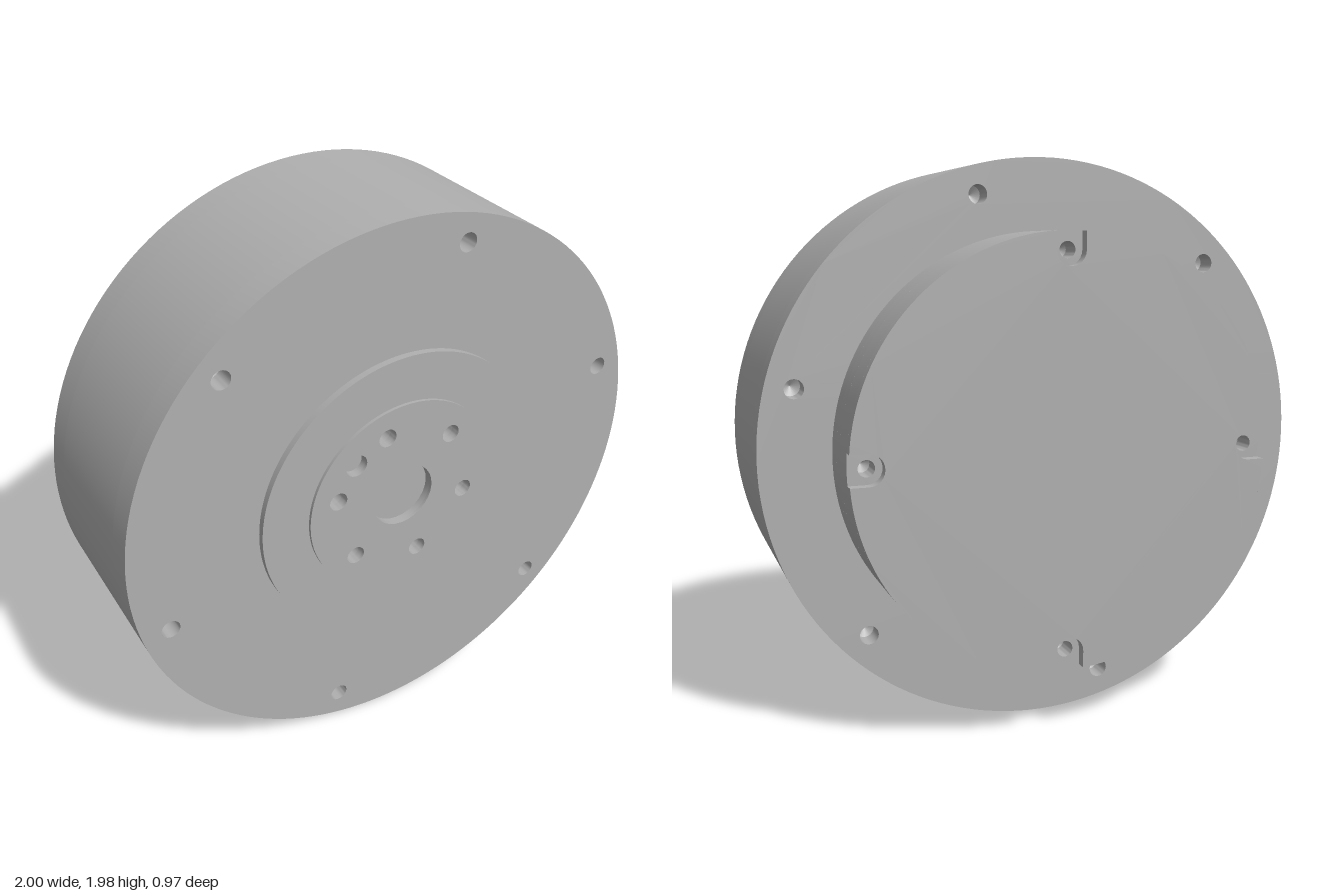
import * as THREE from 'three';
import { toCreasedNormals } from 'three/addons/utils/BufferGeometryUtils.js';

const RAD = Math.PI / 180;
const polar = (r, deg) => new THREE.Vector2(r * Math.cos(deg * RAD), r * Math.sin(deg * RAD));

// Points along an arc, in either direction
function arc(r, from, to) {
  const n = Math.max(2, Math.ceil(Math.abs(to - from) / 2.5));
  return Array.from({ length: n + 1 }, (_, i) => polar(r, from + ((to - from) * i) / n));
}

// Disc outline, optionally with one recess in the rim
function disc(r, recess) {
  if (!recess) return arc(r, 0, 360).slice(0, -1);
  const { from, to, depth } = recess;
  return [...arc(r, to, from + 360), ...arc(r - depth, from, to)];
}

// Disc outline with four U-shaped notches cut in from the rim
function notchedDisc(r, centre, w) {
  const half = Math.asin(w / r) / RAD;
  const pts = [];
  for (let a = 0; a < 360; a += 90) {
    pts.push(polar(r, a - half));
    for (let t = -90; t >= -270; t -= 15) {
      const p = polar(w, t);
      p.x += centre;
      pts.push(p.rotateAround(new THREE.Vector2(), a * RAD));
    }
    pts.push(...arc(r, a + half, a + 90 - half).slice(0, -1));
  }
  return pts;
}

// Positions of holes spaced evenly on a circle
const boltCircle = (r, start, count) =>
  Array.from({ length: count }, (_, i) => polar(r, start + (i * 360) / count));

export function createModel() {
  const metal = new THREE.MeshStandardMaterial({ color: 0xb0b0b0, side: THREE.DoubleSide });
  metal.name = 'grey metal';
  const model = new THREE.Group();
  const axisGroup = new THREE.Group();
  axisGroup.name = 'motor';
  axisGroup.position.y = 0.9925;
  axisGroup.rotation.y = -0.028;
  model.add(axisGroup);

  // A slice of the body between two depths, with round holes
  function slice(name, outline, z0, z1, holes = []) {
    const shape = new THREE.Shape(outline);
    for (const { at, r } of holes) {
      const hole = new THREE.Path();
      hole.absarc(at.x, at.y, r, 0, Math.PI * 2, true);
      shape.holes.push(hole);
    }
    const geo = new THREE.ExtrudeGeometry(shape, { depth: z1 - z0, bevelEnabled: false, curveSegments: 14 });
    const mesh = new THREE.Mesh(toCreasedNormals(geo, 0.5), metal);
    mesh.name = name;
    mesh.position.z = z0;
    axisGroup.add(mesh);
  }

  // Conical bottom of a drilled hole
  function drillTip(at, r, rimZ, tipZ) {
    const geo = new THREE.LatheGeometry([new THREE.Vector2(0, 0), new THREE.Vector2(r, 1)], 20);
    geo.rotateX(Math.PI / 2);
    const mesh = new THREE.Mesh(geo, metal);
    mesh.name = 'drillTip';
    mesh.scale.z = rimZ - tipZ;
    mesh.position.set(at.x, at.y, tipZ);
    axisGroup.add(mesh);
  }

  const sized = (points, r) => points.map((at) => ({ at, r }));
  const outer = boltCircle(0.893, 75.1, 6);
  const inner = boltCircle(0.264, 45.2, 6);
  const outerHoles = sized(outer, 0.033);
  const innerHoles = sized(inner, 0.033);
  const hubHoles = [
    ...innerHoles,
    { at: polar(0.265, 135), r: 0.04 },
    { at: new THREE.Vector2(), r: 0.118 },
  ];

  // Main drum with blind holes on both faces
  slice('drumBack', disc(0.99), -0.2, -0.1, outerHoles);
  slice('drum', disc(0.99), -0.1, 0.34);
  slice('drumFront', disc(0.99), 0.34, 0.4375, [...outerHoles, ...innerHoles]);
  for (const at of outer) {
    drillTip(at, 0.033, 0.36, 0.341);
    drillTip(at, 0.033, -0.12, -0.101);
  }
  for (const at of inner) drillTip(at, 0.033, 0.36, 0.341);

  // Stepped output hub
  slice('hubStep', disc(0.533), 0.4375, 0.461, hubHoles);
  slice('hubFace', disc(0.362), 0.461, 0.472, hubHoles);

  // Rear housing with a connector slot, its key tab and four screw notches
  const R = 0.743;
  const screws = boltCircle(0.68, 0, 4);
  slice('housingBase', disc(R), -0.265, -0.2);
  slice('housingKey', disc(R, { from: 132.5, to: 138, depth: 0.05 }), -0.322, -0.265);
  slice('housingSlot', disc(R, { from: 103, to: 165, depth: 0.05 }), -0.432, -0.322, sized(screws, 0.028));
  slice('rearCover', notchedDisc(R, 0.68, 0.0525), -0.47, -0.432);
  for (const at of screws) drillTip(at, 0.028, -0.35, -0.323);

  return model;
}
